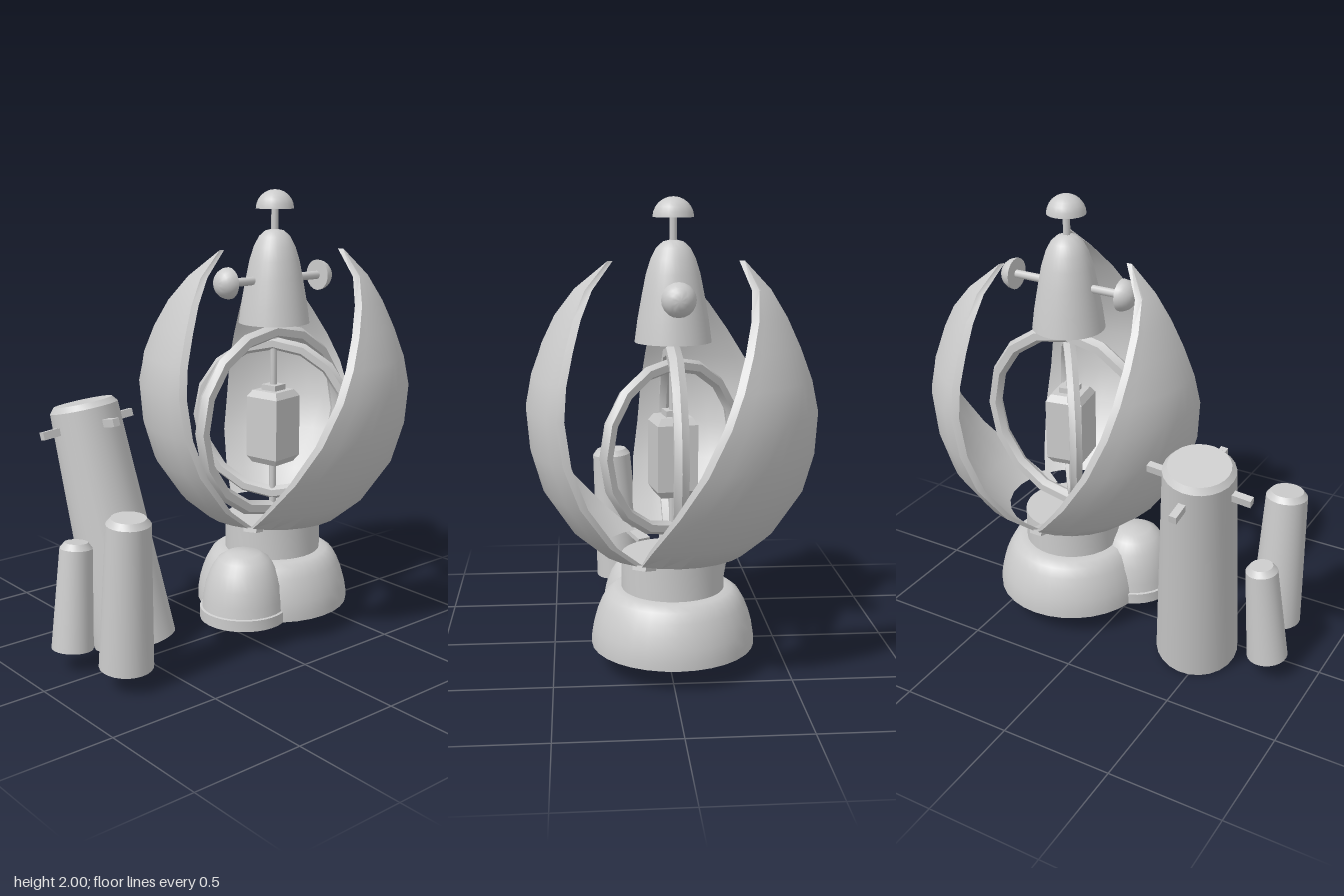
import * as THREE from 'three';
import { toCreasedNormals } from 'three/addons/utils/BufferGeometryUtils.js';

const grey = new THREE.MeshStandardMaterial({ color: 0xcccccc, side: THREE.DoubleSide });
const RAD = Math.PI / 180;

function add(parent, name, geometry, x = 0, y = 0, z = 0) {
  const mesh = new THREE.Mesh(geometry, grey);
  mesh.name = name;
  mesh.position.set(x, y, z);
  parent.add(mesh);
  return mesh;
}

// Turned part from [radius, height] pairs, listed bottom to top
function turned(profile, segments = 32, crease = 0.6) {
  const points = profile.map(([r, y]) => new THREE.Vector2(r, y));
  return toCreasedNormals(new THREE.LatheGeometry(points, segments), crease);
}

// Petal shell: each row is [height, radius, right edge angle, left edge angle]
const petalRows = [
  [0.53, 0.318, 30, 150], [0.625, 0.43, 38, 138], [0.8, 0.547, 44, 124],
  [0.97, 0.597, 48, 114], [1.15, 0.612, 50, 106], [1.28, 0.588, 51.5, 100],
  [1.41, 0.542, 53, 93], [1.53, 0.49, 55, 85], [1.64, 0.425, 57, 75], [1.75, 0.315, 60, 60.5],
];

function petalGeometry() {
  const cols = 8, thick = 0.024, loop = 2 * (cols + 1);
  const positions = [], index = [];
  for (const [y, r, right, left] of petalRows) {
    const inset = Math.min(2.2, (left - right) * 0.3);
    for (let k = 0; k < loop; k++) {
      const outer = k <= cols;
      const t = outer ? k / cols : (loop - 1 - k) / cols;
      const trim = outer ? inset : 0;
      const a = THREE.MathUtils.lerp(right + trim, left - trim, t) * RAD;
      const radius = outer ? r : r - thick;
      positions.push(radius * Math.cos(a), y, radius * Math.sin(a));
    }
  }
  for (let i = 0; i < petalRows.length - 1; i++) {
    for (let k = 0; k < loop; k++) {
      const a = i * loop + k, c = i * loop + (k + 1) % loop;
      index.push(a, a + loop, c, c, a + loop, c + loop);
    }
  }
  // Lower lip
  for (let k = 0; k < cols; k++) {
    const inA = loop - 1 - k, inB = loop - 2 - k;
    index.push(k, k + 1, inA, k + 1, inB, inA);
  }
  const geometry = new THREE.BufferGeometry();
  geometry.setAttribute('position', new THREE.Float32BufferAttribute(positions, 3));
  geometry.setIndex(index);
  return toCreasedNormals(geometry, 0.75);
}

// Tapered canister with a bevelled lid, standing from one point to another
function canister(parent, name, from, to, rBottom, rTop) {
  const group = new THREE.Group();
  group.name = name;
  const start = new THREE.Vector3(...from);
  const axis = new THREE.Vector3(...to).sub(start);
  const h = axis.length();
  group.position.copy(start);
  group.quaternion.setFromUnitVectors(new THREE.Vector3(0, 1, 0), axis.normalize());
  add(group, name + 'Body', turned([
    [0, 0], [rBottom, 0], [rTop, h - 0.025], [rTop - 0.02, h], [0, h],
  ], 24, 0.5));
  parent.add(group);
  return { group, h };
}

export function createModel() {
  const model = new THREE.Group();
  model.name = 'petalMachine';

  const main = new THREE.Group();
  main.name = 'mainBody';
  main.position.set(0.265, 0, -0.015);
  model.add(main);

  // Base: open dome, collar and side dome
  add(main, 'baseDome', turned([
    [0.35, 0.105], [0.35, 0.14], [0.342, 0.19], [0.328, 0.24],
    [0.308, 0.29], [0.285, 0.33], [0.255, 0.352], [0.22, 0.355],
  ]));
  add(main, 'baseCollar', turned([[0.22, 0.35], [0.22, 0.5], [0, 0.5]]));
  add(model, 'sideDome', turned([
    [0.198, 0.105], [0.198, 0.155], [0.188, 0.158], [0.183, 0.2], [0.17, 0.27],
    [0.145, 0.335], [0.115, 0.38], [0.075, 0.405], [0, 0.41],
  ]), -0.005, 0, 0.095);

  // Three twisted petals with small hinge tabs between them
  const petal = petalGeometry();
  for (let i = 0; i < 3; i++) {
    add(main, 'petal', petal).rotation.y = i * 120 * RAD;
    const a = (30 + i * 120) * RAD;
    const tab = add(main, 'hingeTab', new THREE.BoxGeometry(0.1, 0.02, 0.06),
      0.27 * Math.cos(a), 0.512, 0.27 * Math.sin(a));
    tab.rotation.y = -a;
    tab.rotateZ(0.25);
  }

  // Crossed rings
  const ring = (R, tube) => toCreasedNormals(new THREE.TorusGeometry(R, tube, 6, 16), 0.6);
  add(main, 'largeRing', ring(0.416, 0.034), 0, 0.953, 0);
  add(main, 'smallRing', ring(0.352, 0.03), 0, 0.963, 0).rotation.y = -54.5 * RAD;

  // Core on its spindle
  add(main, 'spindle', new THREE.CylinderGeometry(0.016, 0.016, 0.92, 8), 0, 0.95, 0);
  add(main, 'core', turned([
    [0, 0.76], [0.095, 0.76], [0.122, 0.79], [0.122, 1.07], [0.095, 1.1],
    [0.055, 1.1], [0.055, 1.125], [0, 1.125],
  ], 4, 0.2)).rotation.y = 55 * RAD;

  // Bell head
  add(main, 'bell', turned([
    [0, 1.41], [0.16, 1.41], [0.148, 1.5], [0.128, 1.61], [0.112, 1.69],
    [0.093, 1.75], [0.07, 1.795], [0.042, 1.82], [0, 1.83],
  ]));

  // Knobs: one on top, one on each side
  const knob = (name, y, rotation, rodFrom, flat, r, height, rodRadius) => {
    const group = new THREE.Group();
    group.name = name;
    group.position.y = y;
    group.rotation.z = rotation;
    const cap = [[0, flat], [r, flat]];
    for (let i = 1; i <= 6; i++) {
      const a = i * 15 * RAD;
      cap.push([r * Math.cos(a), flat + height * Math.sin(a)]);
    }
    add(group, name + 'Cap', turned(cap, 20));
    add(group, name + 'Rod', new THREE.CylinderGeometry(rodRadius, rodRadius, flat - rodFrom, 8),
      0, (flat + rodFrom) / 2, 0);
    main.add(group);
  };
  knob('topKnob', 1.8, 0, 0, 0.117, 0.085, 0.083, 0.016);
  for (const side of [-1, 1]) {
    knob('sideKnob', 1.605, -side * Math.PI / 2, 0.05, 0.265, 0.07, 0.068, 0.019);
  }

  // Canisters beside the machine
  const big = canister(model, 'largeCanister', [-0.455, 0.045, -0.125], [-0.548, 1.1, -0.352], 0.184, 0.15);
  for (let i = 0; i < 4; i++) {
    const a = i * Math.PI / 2;
    add(big.group, 'peg', new THREE.BoxGeometry(0.12, 0.034, 0.032),
      0.172 * Math.cos(a), big.h - 0.1, 0.172 * Math.sin(a)).rotation.y = -a;
  }
  canister(model, 'mediumCanister', [-0.708, 0.095, 0.175], [-0.71, 0.745, 0.215], 0.115, 0.093);
  canister(model, 'smallCanister', [-0.79, 0.1, -0.108], [-0.745, 0.56, -0.125], 0.09, 0.07);

  return model;
}
